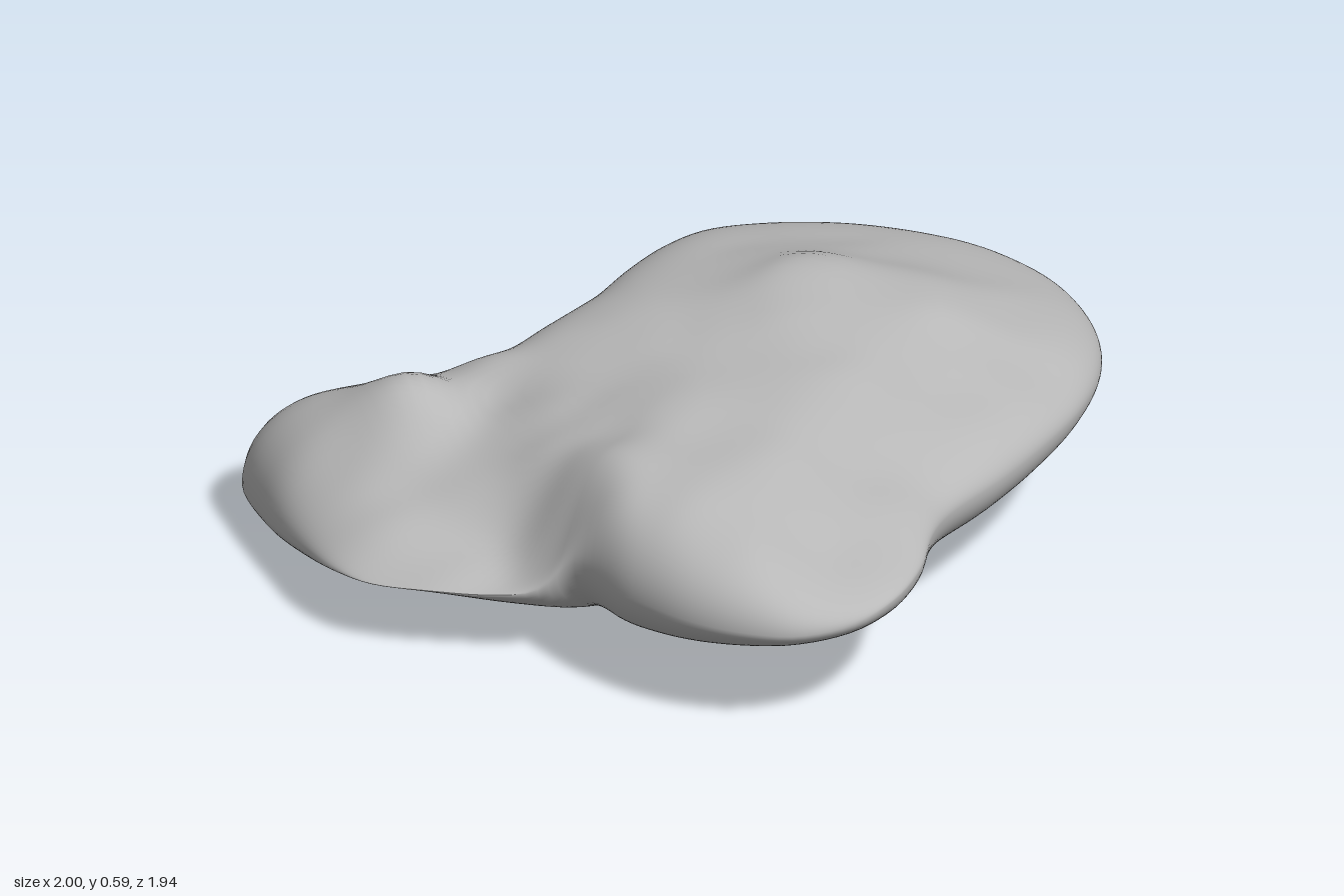
import * as THREE from 'three';

// Rim of the stone, clockwise from the back: x, z, height
const RIM = [
  [0.33, -0.97, 0.34], [0.52, -0.95, 0.34], [0.67, -0.9, 0.34], [0.82, -0.79, 0.34], [0.92, -0.65, 0.34],
  [0.98, -0.5, 0.34], [1, -0.35, 0.34], [0.98, -0.17, 0.34], [0.93, 0, 0.34], [0.85, 0.18, 0.33],
  [0.75, 0.36, 0.32], [0.725, 0.5, 0.33], [0.72, 0.65, 0.32], [0.68, 0.8, 0.31], [0.6, 0.9, 0.29],
  [0.47, 0.965, 0.28], [0.34, 0.965, 0.28], [0.2, 0.92, 0.28], [0.05, 0.82, 0.28], [-0.11, 0.67, 0.28],
  [-0.19, 0.665, 0.2], [-0.3, 0.665, 0.18], [-0.47, 0.665, 0.18], [-0.6, 0.63, 0.17], [-0.7, 0.55, 0.16],
  [-0.82, 0.37, 0.13], [-0.93, 0.17, 0.1], [-1, 0, 0.09], [-0.98, -0.09, 0.09], [-0.9, -0.16, 0.11],
  [-0.75, -0.2, 0.15], [-0.47, -0.23, 0.24], [-0.36, -0.34, 0.27], [-0.26, -0.48, 0.3], [-0.19, -0.63, 0.32],
  [-0.1, -0.77, 0.33], [0, -0.87, 0.34], [0.14, -0.94, 0.34],
];

// Humps and hollows of the upper side: x, z, height
const HUMPS = [
  [0.3, -0.35, 0.59], [0.3, -0.2, 0.565], [0.3, -0.75, 0.5], [0.8, -0.35, 0.5], [0.6, -0.3, 0.565],
  [0.05, -0.6, 0.52], [0, -0.1, 0.51], [0.4, 0, 0.53], [0.75, 0.05, 0.47], [-0.25, -0.2, 0.49],
  [-0.2, 0.15, 0.45], [-0.4, 0.1, 0.38], [-0.6, 0.08, 0.48], [-0.8, 0.05, 0.42], [-0.65, -0.12, 0.37],
  [-0.55, 0.4, 0.29], [-0.4, 0.55, 0.23], [-0.29, 0.53, 0.22], [-0.25, 0.62, 0.2], [-0.2, 0.38, 0.43],
  [-0.09, 0.52, 0.51], [-0.02, 0.66, 0.53], [0.05, 0.3, 0.51], [0.15, 0.7, 0.51], [0.3, 0.4, 0.5],
  [0.3, 0.8, 0.48], [0.58, 0.45, 0.43], [0.55, 0.75, 0.39],
];

// Fits a plane to the nearby humps, so the surface flows between them
function topHeight(x, z) {
  let w = 0, mx = 0, mz = 0, mh = 0;
  const near = HUMPS.map(([hx, hz, h]) => {
    const k = 1 / ((x - hx) ** 2 + (z - hz) ** 2 + 0.022) ** 3;
    w += k; mx += k * hx; mz += k * hz; mh += k * h;
    return [hx, hz, h, k];
  });
  mx /= w; mz /= w; mh /= w;
  let xx = 0.002, zz = 0.002, xz = 0, xh = 0, zh = 0;
  for (const [hx, hz, h, k] of near) {
    const dx = hx - mx, dz = hz - mz, f = k / w;
    xx += f * dx * dx; zz += f * dz * dz; xz += f * dx * dz;
    xh += f * dx * (h - mh); zh += f * dz * (h - mh);
  }
  const det = xx * zz - xz * xz;
  return mh + ((xh * zz - zh * xz) * (x - mx) + (zh * xx - xh * xz) * (z - mz)) / det;
}

// Shallow bowl with a keel under the right-hand lobe
const bottomHeight = (x, z) =>
  0.045 + 0.105 * x + 0.03 * x * x + (0.12 + 0.8 * Math.max(0, -x)) * (z - 0.1) ** 2;

function stoneGeometry(rows = 72, cols = 200) {
  const curve = new THREE.CatmullRomCurve3(RIM.map(([x, z, y]) => new THREE.Vector3(x, y, z)), true);
  const rim = curve.getSpacedPoints(cols).slice(0, cols);
  const cx = 0.1, cz = 0.1;
  const pos = [cx, topHeight(cx, cz), cz];

  // Rings from the top centre out over the rim and back in underneath
  for (let j = 1; j < rows; j++) {
    const u = (j / rows) * Math.PI, r = Math.sin(u);
    const height = j <= rows / 2 ? topHeight : bottomHeight;
    const dome = Math.sqrt(Math.max(0, 1 - r ** 4.6));
    for (const p of rim) {
      const x = cx + (p.x - cx) * r, z = cz + (p.z - cz) * r;
      pos.push(x, p.y + (height(x, z) - p.y) * dome, z);
    }
  }
  pos.push(cx, bottomHeight(cx, cz), cz);

  const last = pos.length / 3 - 1;
  const at = (j, i) => (j === 0 ? 0 : j === rows ? last : 1 + (j - 1) * cols + (i % cols));
  const index = [];
  for (let j = 0; j < rows; j++) {
    for (let i = 0; i < cols; i++) {
      const a = at(j, i), b = at(j, i + 1), c = at(j + 1, i), d = at(j + 1, i + 1);
      if (j > 0) index.push(a, b, d);
      if (j < rows - 1) index.push(a, d, c);
    }
  }
  const geo = new THREE.BufferGeometry();
  geo.setAttribute('position', new THREE.Float32BufferAttribute(pos, 3));
  geo.setIndex(index);
  geo.computeBoundingBox();
  geo.translate(0, -geo.boundingBox.min.y, 0);
  geo.computeVertexNormals();
  return geo;
}

export function createModel() {
  const group = new THREE.Group();
  group.name = 'smoothStone';
  const grey = new THREE.MeshStandardMaterial({ color: 0xb8b8b8 });
  grey.name = 'stone grey';
  const stone = new THREE.Mesh(stoneGeometry(), grey);
  stone.name = 'stoneBody';
  group.add(stone);
  return group;
}
